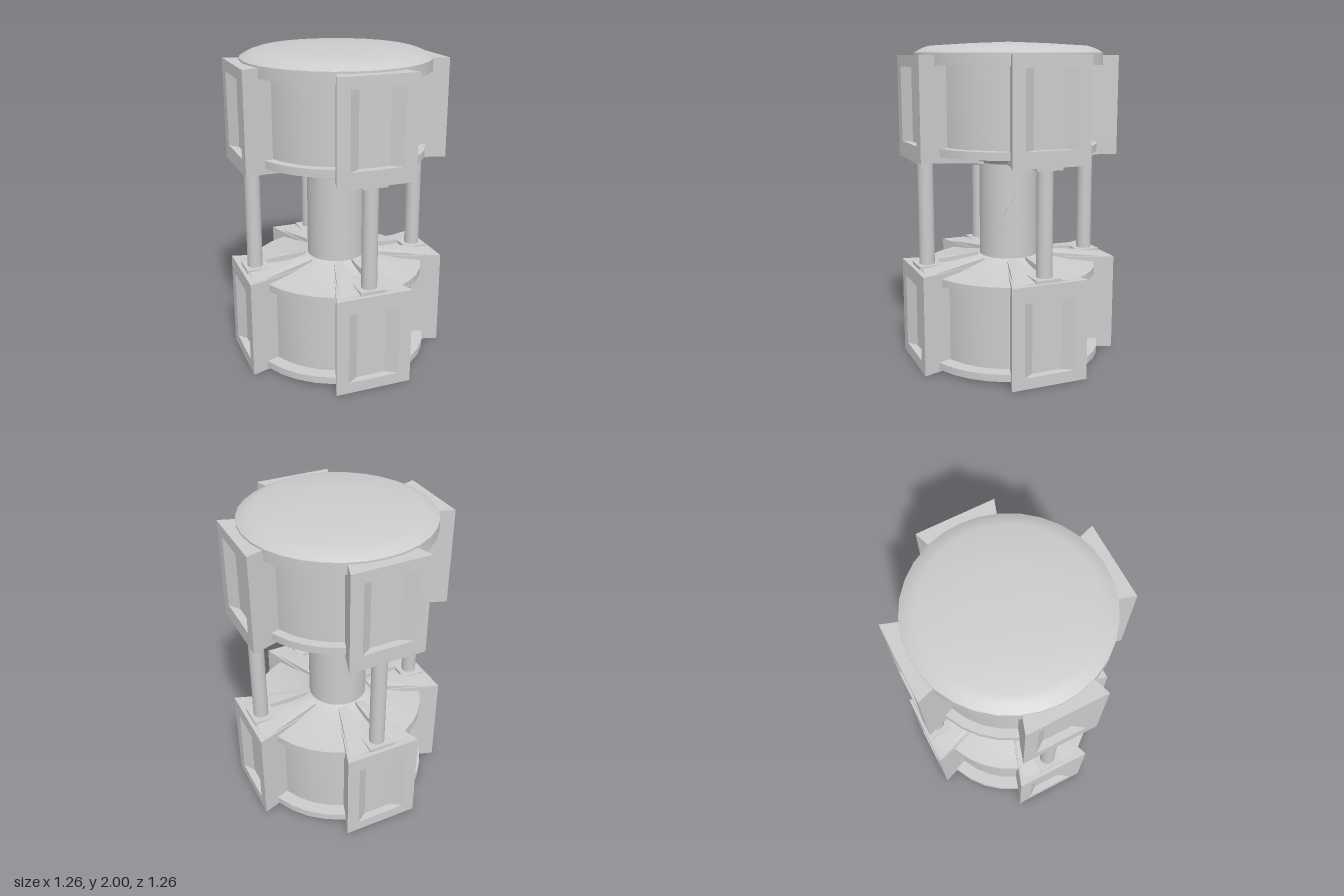
import * as THREE from 'three';
import { toCreasedNormals } from 'three/addons/utils/BufferGeometryUtils.js';
import { ConvexGeometry } from 'three/addons/geometries/ConvexGeometry.js';

const material = new THREE.MeshStandardMaterial({ color: 0xcccccc, side: THREE.DoubleSide });
const vec = (p) => new THREE.Vector2(p[0], p[1]);

function add(parent, name, geometry) {
  const mesh = new THREE.Mesh(geometry, material);
  mesh.name = name;
  parent.add(mesh);
  return mesh;
}

function lathe(profile) {
  return toCreasedNormals(new THREE.LatheGeometry(profile.map(vec), 32), 0.5);
}

// Plan outline (x outward, y sideways) raised from y0 to y1
function slab(plan, y0, y1) {
  const geo = new THREE.ExtrudeGeometry(new THREE.Shape(plan.map(vec)), { depth: y1 - y0, bevelEnabled: false });
  return geo.rotateX(-Math.PI / 2).translate(0, y0, 0);
}

// Tapered block pointing along +x, with a recessed outer panel and two ribs on top
function createBlock() {
  const block = new THREE.Group();
  block.name = 'block';
  const plan = [[0.26, -0.113], [0.645, -0.243], [0.645, 0.243], [0.26, 0.113]];
  const notched = [
    plan[0], plan[1], [0.645, -0.163], [0.597, -0.095],
    [0.597, 0.095], [0.645, 0.163], plan[2], plan[3],
  ];
  add(block, 'blockBase', slab(plan, 0, 0.07));
  add(block, 'blockPanel', slab(notched, 0.07, 0.525));
  add(block, 'blockTop', slab(plan, 0.525, 0.622));

  for (const s of [-1, 1]) {
    const points = [];
    for (const [u, v0, v1, top] of [[0.61, 0.055, 0.215, 0.63], [0.2, 0.03, 0.09, 0.672]]) {
      points.push(
        new THREE.Vector3(u, 0.59, s * v0), new THREE.Vector3(u, 0.59, s * v1),
        new THREE.Vector3(u, top, s * v0), new THREE.Vector3(u, top - 0.012, s * v1),
      );
    }
    add(block, 'rib', toCreasedNormals(new ConvexGeometry(points), 0.1));
  }
  // Low foot under the rod
  add(block, 'rodFoot', slab([[0.47, -0.08], [0.62, -0.08], [0.62, 0.08], [0.47, 0.08]], 0.6, 0.642));
  return block;
}

// Hollow drum, open underneath, ringed by four blocks
function createDrum(name) {
  const drum = new THREE.Group();
  drum.name = name;
  add(drum, 'drumShell', lathe([
    [0.5, 0.06], [0.54, 0.015], [0.585, 0.015], [0.585, 0.06], [0.5, 0.06],
    [0.5, 0.54], [0.556, 0.54], [0.556, 0.588], [0.42, 0.605], [0.28, 0.632], [0.21, 0.65], [0.18, 0.665],
  ]));
  for (let i = 0; i < 4; i++) {
    const block = createBlock();
    block.rotation.y = Math.PI / 4 + i * Math.PI / 2;
    drum.add(block);
  }
  return drum;
}

export function createModel() {
  const model = new THREE.Group();
  model.name = 'drumTower';

  model.add(createDrum('lowerDrum'));
  const upper = createDrum('upperDrum');
  upper.rotation.x = Math.PI;
  upper.position.y = 1.92;
  model.add(upper);

  // Shallow domed lid
  add(model, 'lid', lathe([
    [0.5, 1.86], [0.585, 1.86], [0.585, 1.932], [0.565, 1.945], [0.53, 1.962], [0.49, 1.975], [0.25, 1.99], [0, 2],
  ]));

  // Central column and four rods between the drums
  add(model, 'column', new THREE.CylinderGeometry(0.186, 0.186, 0.64, 32, 1, true).translate(0, 0.96, 0));
  for (let i = 0; i < 4; i++) {
    const a = Math.PI / 4 + i * Math.PI / 2;
    const rod = add(model, 'rod', new THREE.CylinderGeometry(0.048, 0.048, 0.66, 16));
    rod.position.set(0.55 * Math.cos(a), 0.96, 0.55 * Math.sin(a));
  }

  // Hairline cracks on the column, as [angle, height] paths
  const cracks = [
    [[-1.2, 0.82], [-0.6, 0.86], [0, 0.88], [0.8, 0.85], [1.6, 0.86], [2.3, 0.9], [3.1, 0.85], [4, 0.87], [5.08, 0.82]],
    [[0, 0.88], [-0.4, 0.97], [-0.7, 1.05], [-0.65, 1.14], [-1.2, 1.22]],
    [[-0.65, 1.14], [-0.3, 1.19], [0.6, 1.22], [1.5, 1.24]],
    [[1.6, 0.86], [1.9, 0.98], [2.2, 1.08], [1.7, 1.18], [1.5, 1.24]],
    [[4, 0.87], [3.7, 1], [4.1, 1.12], [3.8, 1.24]],
  ];
  for (const path of cracks) {
    const points = path.map(([a, y]) => new THREE.Vector3(0.185 * Math.sin(a), y, 0.185 * Math.cos(a)));
    add(model, 'crack', new THREE.TubeGeometry(new THREE.CatmullRomCurve3(points), 32, 0.002, 4));
  }
  return model;
}
